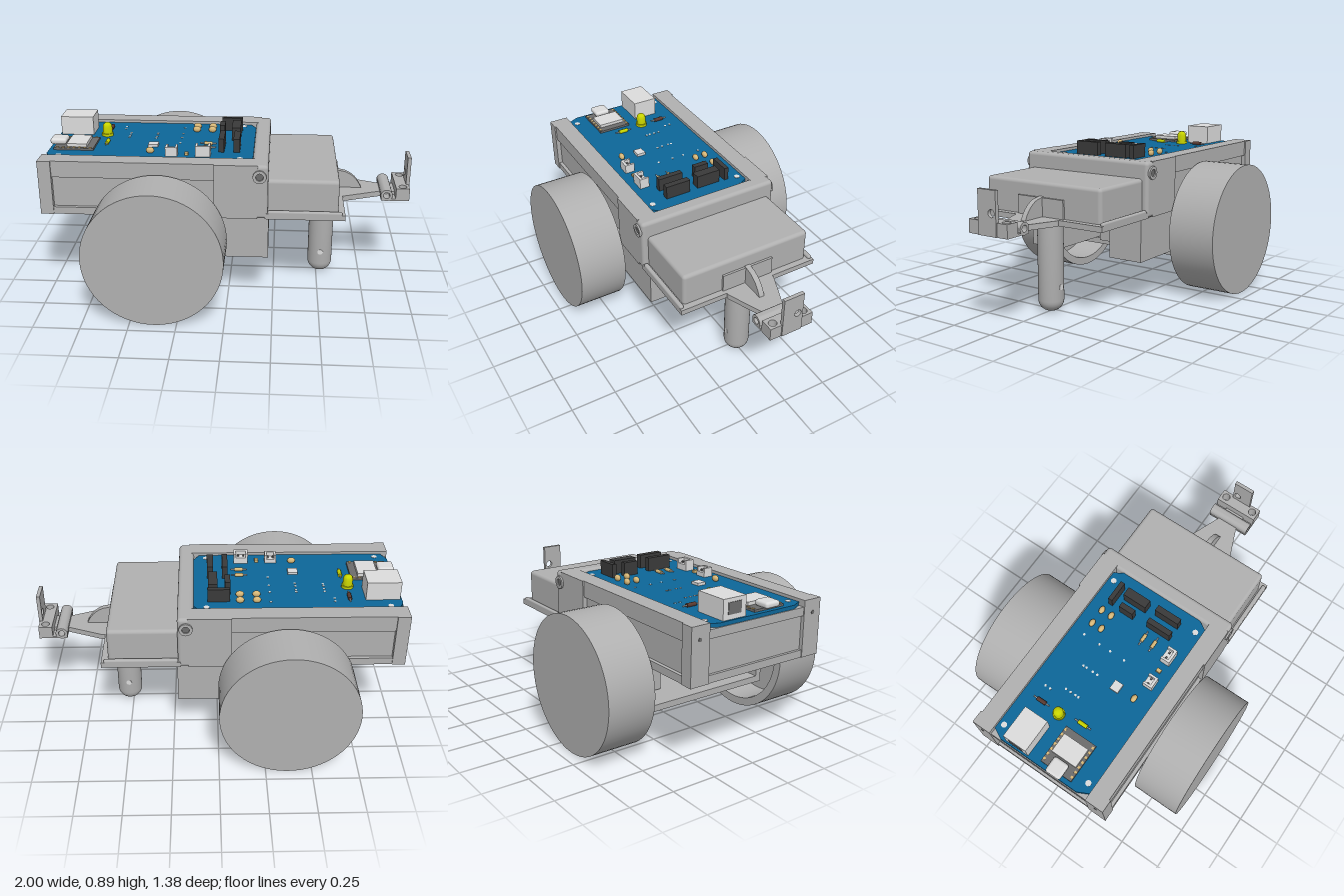
import * as THREE from 'three';
import { toCreasedNormals } from 'three/addons/utils/BufferGeometryUtils.js';
import { RoundedBoxGeometry } from 'three/addons/geometries/RoundedBoxGeometry.js';

const mat = (name, color) => Object.assign(new THREE.MeshStandardMaterial({ color }), { name });
const GREY = mat('body grey', 0xb0b0b0);
const BLUE = mat('board blue', 0x0d6799);
const LIGHT = mat('connector light grey', 0xdcdcdc);
const BLACK = mat('header black', 0x3a3a3a);
const YELLOW = mat('lamp yellow', 0xc8d400);
const BEIGE = mat('capacitor beige', 0xd8b878);
const DARK = mat('module dark grey', 0x6c6c6c);
const BROWN = mat('diode brown', 0x5a3a30);

export function createModel() {
  const root = new THREE.Group();
  const add = (name, geo, m = GREY, parent = root) => {
    const mesh = new THREE.Mesh(geo, m);
    mesh.name = name;
    parent.add(mesh);
    return mesh;
  };
  // Box given by its extents; r rounds the edges
  const box = (name, x0, x1, y0, y1, z0, z1, m = GREY, r = 0) => {
    const s = [x1 - x0, y1 - y0, z1 - z0];
    const g = r ? new RoundedBoxGeometry(...s, 3, r) : new THREE.BoxGeometry(...s);
    return add(name, g.translate((x0 + x1) / 2, (y0 + y1) / 2, (z0 + z1) / 2), m);
  };
  // Horizontal plate from an outline of [x, z] points, with round holes [x, z, r]
  const slab = (name, pts, y0, y1, m = GREY, holes = []) => {
    const s = new THREE.Shape(pts.map(([x, z]) => new THREE.Vector2(x, -z)));
    for (const [x, z, r] of holes) s.holes.push(new THREE.Path().absarc(x, -z, r, 0, Math.PI * 2));
    const g = new THREE.ExtrudeGeometry(s, { depth: y1 - y0, bevelEnabled: false, curveSegments: 10 });
    return add(name, g.rotateX(-Math.PI / 2).translate(0, y0, 0), m);
  };
  const lathe = (pts, n) =>
    toCreasedNormals(new THREE.LatheGeometry(pts.map(([x, y]) => new THREE.Vector2(x, y)), n), 0.6);
  // Cylinder lying along z or x, or standing
  const rod = (name, x, y, z, r, len, axis, m = GREY, n = 24) => {
    const g = new THREE.CylinderGeometry(r, r, len, n);
    if (axis === 'z') g.rotateX(Math.PI / 2);
    if (axis === 'x') g.rotateZ(Math.PI / 2);
    return add(name, g.translate(x, y, z), m);
  };
  // Open sleeve lying along z
  const sleeve = (name, x, y, z, ro, ri, len) => add(name, lathe(
    [[ri, len / 2], [ri, -len / 2], [ro, -len / 2], [ro, len / 2], [ri, len / 2]], 24)
    .rotateX(Math.PI / 2).translate(x, y, z));

  // Main chassis
  box('chassisCore', -0.98, 0.1, 0.5, 0.765, -0.385, 0.385);
  box('chassisFrontWall', 0.13, 0.215, 0.5, 0.8, -0.41, 0.41, GREY, 0.02);
  box('endBottomRail', -0.995, -0.97, 0.5, 0.54, -0.36, 0.36);
  box('endTopRail', -0.995, -0.97, 0.72, 0.765, -0.36, 0.36);
  for (const s of [-1, 1]) {
    const side = (name, x0, x1, y0, y1, a, b, m, r) =>
      box(name, x0, x1, y0, y1, Math.min(a * s, b * s), Math.max(a * s, b * s), m, r);
    side('sideTopRail', -0.94, -0.07, 0.71, 0.8, 0.302, 0.402);
    side('sideBottomRail', -0.94, -0.07, 0.5, 0.54, 0.38, 0.405);
    side('cornerPost', -1, -0.93, 0.5, 0.8, 0.302, 0.41);
    side('sideBlock', -0.07, 0.16, 0.5, 0.8, 0.302, 0.41);
    rod('postHole', -1.0, 0.73, 0.36 * s, 0.01, 0.004, 'x', DARK, 12);
    sleeve('boltBoss', 0.17, 0.74, 0.405 * s, 0.036, 0.02, 0.03);
    rod('boltHole', 0.17, 0.74, 0.411 * s, 0.02, 0.004, 'z', DARK, 16);

    // Wheel cup, open towards the chassis
    const wheel = add('wheel', lathe([[0, 0.2], [0.325, 0.2], [0.325, 0], [0.37, 0], [0.37, 0.27], [0, 0.27]], 64));
    wheel.rotation.x = s * Math.PI / 2;
    wheel.position.set(-0.37, 0.37, 0.418 * s);
    rod('axle', -0.37, 0.37, 0.49 * s, 0.05, 0.26, 'z');
    rod('axleCollar', -0.37, 0.37, 0.388 * s, 0.06, 0.025, 'z');

    // Motor gearbox and its tray wall
    side('motor', -0.45, 0.22, 0.255, 0.49, 0.17, 0.375);
    side('motorTrayWall', -0.6, -0.15, 0.215, 0.31, 0.375, 0.408);
    side('hoodRail', 0.215, 0.61, 0.52, 0.545, 0.385, 0.41, GREY, 0.01);
  }
  box('motorTray', -0.6, -0.15, 0.215, 0.25, -0.408, 0.408);
  box('centreBracket', -0.25, -0.1, 0.25, 0.5, -0.125, 0.125);

  // Hood and its floor
  box('hoodFloor', 0.2, 0.625, 0.5, 0.53, -0.41, 0.41);
  box('hood', 0.18, 0.59, 0.51, 0.71, -0.378, 0.378, GREY, 0.02);
  box('hitchBackPlate', 0.58, 0.602, 0.51, 0.63, -0.15, 0.15);

  // Support post with rounded foot
  const foot = [];
  for (let i = 0; i <= 8; i++) {
    const a = (i / 8) * Math.PI / 2;
    foot.push([0.07 * Math.sin(a), 0.065 * (1 - Math.cos(a))]);
  }
  add('supportPost', lathe([...foot, [0.07, 0.505]], 32).translate(0.52, 0, 0));
  for (const s of [-1, 1]) rod('postPin', 0.52, 0.14, 0.0685 * s, 0.016, 0.005, 'z', LIGHT, 16);

  // Hitch
  slab('hitchArm', [[0.6, -0.14], [0.64, -0.14], [0.84, -0.06], [0.93, -0.06],
    [0.93, 0.06], [0.84, 0.06], [0.64, 0.14], [0.6, 0.14]], 0.5, 0.53);
  const fin = new THREE.Shape();
  fin.moveTo(0.59, 0.52);
  fin.lineTo(0.59, 0.635);
  fin.lineTo(0.64, 0.625);
  fin.quadraticCurveTo(0.71, 0.6, 0.74, 0.52);
  add('hitchFin', new THREE.ExtrudeGeometry(fin, { depth: 0.03, bevelEnabled: false }).translate(0, 0, -0.015));
  sleeve('hingeBarrel', 0.87, 0.53, 0, 0.033, 0.018, 0.25);
  box('hitchFloor', 0.84, 0.93, 0.5, 0.512, -0.125, 0.125);
  slab('hitchBlock', [[0.92, -0.125], [0.995, -0.125], [0.995, -0.06], [0.98, -0.06], [0.98, 0.06],
    [0.995, 0.06], [0.995, 0.125], [0.92, 0.125]], 0.5, 0.572, GREY, [[0.96, -0.09, 0.022], [0.96, 0.09, 0.022]]);
  const tab = new THREE.Shape([[-0.058, 0.5], [0.058, 0.5], [0.058, 0.73], [-0.058, 0.73]]
    .map(p => new THREE.Vector2(...p)));
  tab.holes.push(new THREE.Path().absarc(0.028, 0.615, 0.02, 0, Math.PI * 2));
  add('hitchTab', new THREE.ExtrudeGeometry(tab, { depth: 0.02, bevelEnabled: false })
    .rotateY(Math.PI / 2).translate(0.98, 0, 0));

  // Circuit board with clipped corners
  const T = 0.785;
  slab('circuitBoard', [[-0.99, -0.24], [-0.96, -0.3], [0.1, -0.3], [0.13, -0.25],
    [0.13, 0.25], [0.1, 0.3], [-0.96, 0.3], [-0.99, 0.24]], 0.765, T, BLUE);
  for (const x of [-0.92, 0.06]) for (const z of [-0.27, 0.265])
    rod('mountingHole', x, T, z, 0.016, 0.004, 'y', LIGHT, 12);
  const dots = { '-0.63': [-0.22, -0.19], '-0.585': [-0.12, -0.09, -0.06, -0.04],
    '-0.43': [-0.12, -0.1, -0.06, -0.03], '-0.285': [-0.22, -0.12, -0.05, 0.04] };
  for (const [x, zs] of Object.entries(dots)) for (const z of zs)
    rod('boardVia', +x, T, z, 0.007, 0.004, 'y', LIGHT, 8);

  // Sockets and controller module
  box('squareSocket', -0.98, -0.795, T, 0.89, -0.21, -0.07, LIGHT);
  box('socketOpening', -0.983, -0.979, 0.81, 0.87, -0.18, -0.1, DARK);
  box('controllerModule', -0.965, -0.745, T, 0.797, 0, 0.19, DARK);
  box('shieldCan', -0.895, -0.785, 0.795, 0.815, 0.02, 0.17, LIGHT);
  box('smallSocket', -0.995, -0.905, 0.797, 0.83, 0.05, 0.14, LIGHT, 0.014);
  for (let i = 0; i < 7; i++) for (const z of [0.008, 0.182])
    box('modulePad', -0.95 + i * 0.03, -0.937 + i * 0.03, 0.79, 0.8, z - 0.007, z + 0.007, BEIGE);

  // Pin headers with dark sockets: [x0, x1, z0, z1]
  for (const [x0, x1, z0, z1] of [[-0.06, -0.03, 0.03, 0.175], [0.02, 0.055, 0.03, 0.175],
    [-0.07, -0.04, -0.14, -0.055], [0, 0.05, -0.16, -0.02], [-0.065, 0.055, -0.215, -0.19]])
    box('pinHeader', x0, x1, T, 0.86, z0, z1, BLACK);

  // Plugs, chip, lamp
  for (const [x, w, top] of [[-0.31, 0.065, 0.835], [-0.14, 0.08, 0.845]]) {
    box('plugBase', x - w / 2, x + w / 2, T, top - 0.025, 0.2, 0.255, LIGHT);
    box('plugBack', x - w / 2, x + w / 2, T, top, 0.24, 0.255, LIGHT);
    for (const s of [-1, 1]) {
      const c = x + s * (w / 2 - 0.006);
      box('plugSide', c - 0.006, c + 0.006, T, top, 0.2, 0.255, LIGHT);
      box('plugPin', x + s * 0.015 - 0.005, x + s * 0.015 + 0.005, T, top - 0.015, 0.217, 0.227, DARK);
    }
  }
  box('smallChip', -0.24, -0.22, T, 0.8, 0.212, 0.238, BEIGE);
  box('chip', -0.455, -0.4, T, 0.8, 0.067, 0.117, LIGHT);
  add('lamp', lathe([[0, T], [0.033, T], [0.033, 0.8], [0.027, 0.8], [0.027, 0.835],
    [0.023, 0.85], [0.013, 0.859], [0, 0.862]], 20).translate(-0.715, 0, -0.07), YELLOW);

  // Capacitors, resistors, diode
  for (const [x, z] of [[-0.21, -0.22], [-0.12, -0.22], [-0.21, -0.16], [-0.12, -0.16], [-0.43, 0.205]])
    add('capacitor', new THREE.SphereGeometry(1, 12, 8).scale(0.023, 0.018, 0.015).translate(x, 0.8, z), BEIGE);
  for (const z of [0.055, 0.12]) {
    rod('resistorLead', -0.125, 0.793, z, 0.004, 0.09, 'x', LIGHT, 6);
    rod('resistor', -0.125, 0.793, z, 0.01, 0.045, 'x', BEIGE, 10);
  }
  for (const [z, m] of [[0.065, YELLOW], [-0.185, BROWN]]) {
    const x = z > 0 ? -0.69 : -0.71;
    rod('componentLead', x, 0.793, z, 0.004, 0.1, 'z', LIGHT, 6);
    rod('axialComponent', x, 0.793, z, 0.011, 0.055, 'z', m, 10);
  }
  return root;
}
